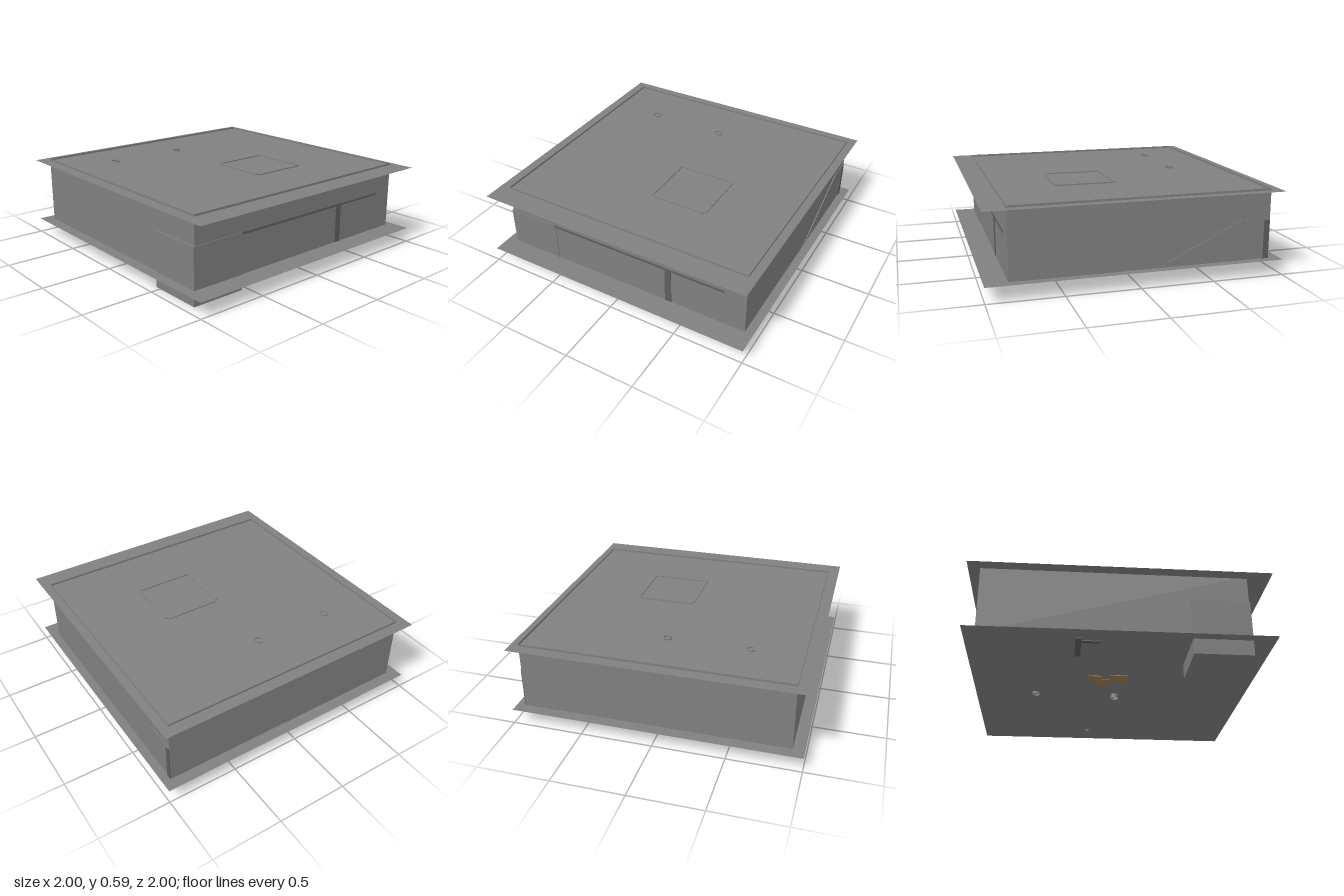
import * as THREE from 'three';

export function createModel() {
  const model = new THREE.Group();
  model.name = 'building';
  const material = (name, color) => {
    const m = new THREE.MeshStandardMaterial({ color, side: THREE.DoubleSide });
    m.name = name;
    return m;
  };
  const grey = material('concrete grey', 0x808080);
  const darkGrey = material('dark grey', 0x5e5e5e);
  const tan = material('tan', 0xa3814a);

  const add = (name, geometry, mat) => {
    const mesh = new THREE.Mesh(geometry, mat);
    mesh.name = name;
    model.add(mesh);
    return mesh;
  };
  // Box given by its limits on each axis
  const block = (name, mat, [x0, x1], [y0, y1], [z0, z1]) =>
    add(name, new THREE.BoxGeometry(x1 - x0, y1 - y0, z1 - z0), mat)
      .position.set((x0 + x1) / 2, (y0 + y1) / 2, (z0 + z1) / 2);

  // Floor and roof sheets overhang the walls
  for (const [name, y] of [['floor', 0.106], ['roof', 0.575]]) {
    const sheet = add(name, new THREE.PlaneGeometry(2, 2), grey);
    sheet.rotation.x = -Math.PI / 2;
    sheet.position.y = y;
  }

  // Thin outer walls, rising a little above the roof as a parapet
  const [left, right, back, front] = [-0.92, 0.845, -0.94, 0.92];
  const [low, high] = [0.106, 0.59];
  const wall = (name, width, x, z, turn) => {
    const mesh = add(name, new THREE.PlaneGeometry(width, high - low), grey);
    mesh.position.set(x, (low + high) / 2, z);
    mesh.rotation.y = turn;
  };
  const midX = (left + right) / 2, midZ = (back + front) / 2;
  wall('frontWall', right - left, midX, front, 0);
  wall('backWall', right - left, midX, back, Math.PI);
  wall('sideWallLeft', front - back, right, midZ, Math.PI / 2);
  wall('sideWallRight', front - back, left, midZ, -Math.PI / 2);

  // Corner room, reaching down below the floor
  block('cornerRoom', grey, [0.46, 0.85], [0, 0.39], [0.54, 0.93]);

  // Upper floor edge and post showing through the side wall
  block('upperFloorEdge', darkGrey, [0.80, 0.85], [0.375, 0.39], [-0.785, 0.555]);
  block('sidePost', darkGrey, [0.80, 0.849], [0.107, 0.38], [-0.395, -0.347]);

  // Roof hatch: four kerbs with open corners
  for (const x of [-0.01, 0.41]) block('hatchKerb', grey, [x, x + 0.02], [0.57, 0.583], [-0.4, 0]);
  for (const z of [-0.42, 0]) block('hatchKerb', grey, [0.01, 0.41], [0.57, 0.583], [z, z + 0.02]);

  // Open pipes passing through floor and roof
  for (const [x, z, y0, y1] of [[0.03, -0.015, 0.075, 0.5], [-0.556, -0.013, 0.09, 0.585], [-0.56, 0.56, 0.11, 0.585]]) {
    const pipe = add('pipe', new THREE.CylinderGeometry(0.028, 0.028, y1 - y0, 12, 1, true), grey);
    pipe.position.set(x, (y0 + y1) / 2, z);
  }

  // Landing and ramp along the back wall
  const profile = new THREE.Shape([
    [-0.919, 0.375], [-0.72, 0.375], [-0.17, 0.104], [-0.13, 0.092], [-0.13, 0.106], [-0.71, 0.39], [-0.919, 0.39],
  ].map(([x, y]) => new THREE.Vector2(x, y)));
  add('ramp', new THREE.ExtrudeGeometry(profile, { depth: 0.16, bevelEnabled: false }), grey).position.z = -0.945;
  block('landingPost', darkGrey, [-0.919, -0.88], [0.107, 0.38], [-0.945, -0.9]);

  // Small plates under the floor
  block('floorPatch', tan, [-0.03, 0.1], [0.1, 0.105], [0.23, 0.34]);
  block('floorPatch', tan, [-0.12, -0.03], [0.1, 0.105], [0.16, 0.26]);
  block('floorPatch', tan, [-0.18, -0.08], [0.1, 0.105], [0.26, 0.32]);
  block('floorBracket', darkGrey, [-0.29, -0.25], [0.098, 0.105], [0.63, 0.89]);
  block('floorBracket', darkGrey, [-0.25, -0.13], [0.098, 0.105], [0.83, 0.86]);

  return model;
}
